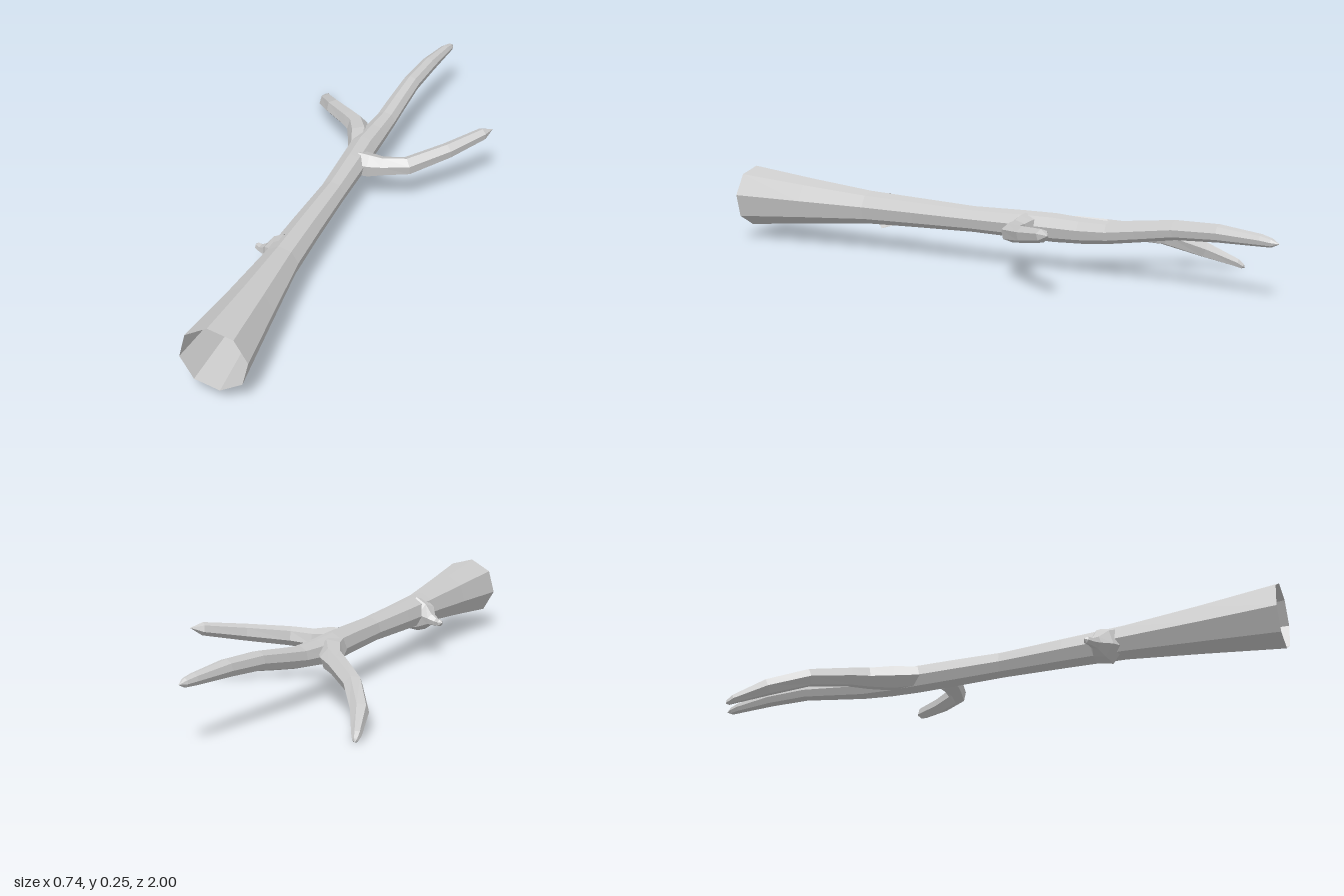
import * as THREE from 'three';

const material = new THREE.MeshStandardMaterial({ color: 0xcccccc, flatShading: true, side: THREE.DoubleSide });

// Faceted limb swept through stations [x, y, z, radius]; a radius of 0 closes the tip.
function limb(name, stations, sides, phase) {
  const centres = stations.map(([x, y, z]) => new THREE.Vector3(x, y, z));
  const up = new THREE.Vector3(0, 1, 0);
  const positions = [], index = [];
  stations.forEach(([, , , radius], i) => {
    const before = centres[Math.max(i - 1, 0)];
    const after = centres[Math.min(i + 1, centres.length - 1)];
    const tangent = after.clone().sub(before).normalize();
    const side = tangent.clone().cross(up).normalize();
    const normal = side.clone().cross(tangent);
    for (let j = 0; j < sides; j++) {
      const angle = phase + (j / sides) * Math.PI * 2;
      const p = centres[i].clone()
        .addScaledVector(side, Math.cos(angle) * radius)
        .addScaledVector(normal, Math.sin(angle) * radius);
      positions.push(p.x, p.y, p.z);
      if (i === 0) continue;
      const a = (i - 1) * sides + j, b = (i - 1) * sides + (j + 1) % sides;
      index.push(a, a + sides, b);
      if (radius > 0) index.push(b, a + sides, b + sides);
    }
  });
  const geometry = new THREE.BufferGeometry();
  geometry.setAttribute('position', new THREE.Float32BufferAttribute(positions, 3));
  geometry.setIndex(index);
  geometry.computeVertexNormals();
  const mesh = new THREE.Mesh(geometry, material);
  mesh.name = name;
  return mesh;
}

export function createModel() {
  const group = new THREE.Group();
  group.name = 'branch';

  // Hollow stem, flared and open at the front, running back to a pointed end
  group.add(limb('mainStem', [
    [-0.02, 0.152, 1, 0.106], [-0.024, 0.151, 0.75, 0.08], [-0.03, 0.15, 0.5, 0.057],
    [-0.03, 0.149, 0.3, 0.05], [-0.027, 0.148, 0.08, 0.043], [-0.03, 0.148, -0.1, 0.046],
    [-0.034, 0.147, -0.22, 0.047], [-0.03, 0.147, -0.32, 0.042], [-0.023, 0.152, -0.42, 0.036],
    [-0.018, 0.166, -0.52, 0.034], [-0.009, 0.185, -0.65, 0.031], [0.008, 0.192, -0.8, 0.028],
    [0.027, 0.188, -0.94, 0.019], [0.034, 0.185, -0.975, 0.014], [0.038, 0.184, -1, 0],
  ], 8, 0.14));

  // Fork that droops to the right side
  group.add(limb('rightFork', [
    [-0.045, 0.147, -0.2, 0.035], [-0.07, 0.147, -0.29, 0.043], [-0.11, 0.143, -0.365, 0.037],
    [-0.155, 0.136, -0.41, 0.033], [-0.252, 0.11, -0.51, 0.03], [-0.325, 0.064, -0.62, 0.028],
    [-0.363, 0.023, -0.72, 0.015], [-0.368, 0.012, -0.738, 0.009], [-0.37, 0.008, -0.745, 0],
  ], 6, 0.2));

  // Fork that rises to the left side
  group.add(limb('leftFork', [
    [-0.015, 0.147, -0.13, 0.044], [0.025, 0.146, -0.13, 0.042], [0.07, 0.148, -0.136, 0.033],
    [0.148, 0.155, -0.156, 0.031], [0.253, 0.177, -0.262, 0.027], [0.342, 0.2, -0.373, 0.021],
    [0.368, 0.206, -0.405, 0],
  ], 6, 0.35));

  // Small broken twig with its swollen base
  group.add(limb('twigStub', [
    [-0.045, 0.14, 0.445, 0.065], [-0.082, 0.135, 0.435, 0.048], [-0.107, 0.128, 0.425, 0.022],
    [-0.13, 0.122, 0.418, 0.014], [-0.148, 0.122, 0.408, 0.012], [-0.157, 0.124, 0.403, 0],
  ], 6, 0.3));

  return group;
}
